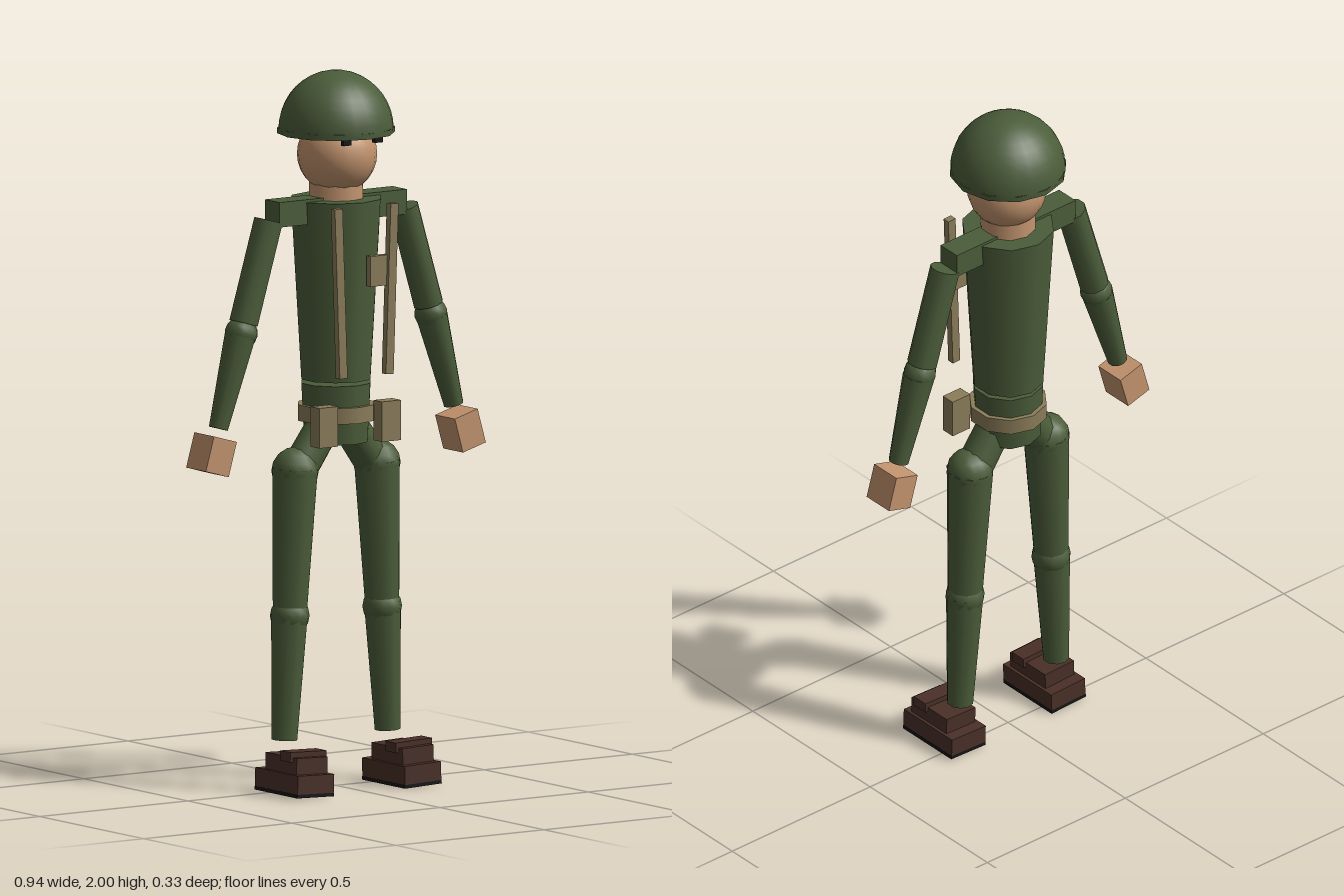
import * as THREE from 'three';

const material = (color) => new THREE.MeshStandardMaterial({ color });
const green = material(0x4b5d3a);
const skin = material(0xc4956f);
const canvas = material(0x8b7d5a);
const leather = material(0x4a3028);
const black = material(0x151515);

function add(parent, name, geometry, mat, x = 0, y = 0, z = 0, tilt = 0) {
  const mesh = new THREE.Mesh(geometry, mat);
  mesh.name = name;
  mesh.position.set(x, y, z);
  mesh.rotation.z = tilt;
  parent.add(mesh);
  return mesh;
}

const box = (w, h, d) => new THREE.BoxGeometry(w, h, d);
const ball = (r) => new THREE.SphereGeometry(r, 12, 8);
const drum = (rTop, rBottom, h, sides = 10) => new THREE.CylinderGeometry(rTop, rBottom, h, sides);

// Tapered cylinder running from (x1, y1) down to (x2, y2) in the z = 0 plane
function limb(parent, name, x1, y1, x2, y2, r1, r2, sides = 10) {
  const dx = x1 - x2, dy = y1 - y2;
  return add(parent, name, drum(r1, r2, Math.hypot(dx, dy), sides), green,
    (x1 + x2) / 2, (y1 + y2) / 2, 0, Math.atan2(-dx, dy));
}

function buildHead(root) {
  const head = new THREE.Group();
  head.name = 'head';
  add(head, 'neck', drum(0.077, 0.08, 0.12), skin, 0, 1.66, 0);
  add(head, 'face', new THREE.SphereGeometry(0.111, 20, 14), skin, 0, 1.768, 0.005);
  for (const s of [-1, 1]) add(head, 'eye', box(0.026, 0.026, 0.014), black, s * 0.053, 1.822, 0.124);
  // Helmet: dome on a thin twelve-sided brim
  const dome = new THREE.SphereGeometry(0.16, 24, 10, 0, Math.PI * 2, 0, Math.PI / 2);
  add(head, 'helmetDome', dome, green, 0, 1.835, 0).scale.y = 0.165 / 0.16;
  add(head, 'helmetBrim', drum(0.163, 0.163, 0.016, 12), green, 0, 1.834, 0);
  root.add(head);
}

function buildBody(root) {
  const body = new THREE.Group();
  body.name = 'body';
  add(body, 'torso', drum(0.13, 0.1, 0.505), green, 0, 1.3925, 0);
  add(body, 'shoulders', box(0.43, 0.07, 0.07), green, 0, 1.618, 0);
  add(body, 'pelvis', drum(0.1, 0.092, 0.165), green, 0, 1.0475, 0);
  add(body, 'belt', drum(0.11, 0.11, 0.045), canvas, 0, 1.048, 0);
  add(body, 'chestPocket', box(0.07, 0.085, 0.02), canvas, 0.055, 1.452, 0.128);
  for (const s of [-1, 1]) {
    add(body, 'strap', box(0.026, 0.475, 0.02), canvas, s * 0.086, 1.4, 0.138, -s * 0.035);
    add(body, 'pouch', box(0.063, 0.112, 0.042), canvas, s * 0.106, 1.025, 0.095);
  }
  root.add(body);
}

function buildArm(root, s) {
  const arm = new THREE.Group();
  arm.name = s > 0 ? 'leftArm' : 'rightArm';
  limb(arm, 'upperArm', s * 0.228, 1.6, s * 0.312, 1.32, 0.042, 0.042);
  add(arm, 'elbow', ball(0.046), green, s * 0.32, 1.293, 0, s * 0.28);
  limb(arm, 'forearm', s * 0.324, 1.285, s * 0.397, 1.033, 0.045, 0.028);
  add(arm, 'hand', box(0.08, 0.1, 0.095), skin, s * 0.42, 0.962, 0, s * 0.28);
  root.add(arm);
}

function buildLeg(root, s) {
  const leg = new THREE.Group();
  leg.name = s > 0 ? 'leftLeg' : 'rightLeg';
  limb(leg, 'hip', s * 0.035, 1.02, s * 0.125, 0.895, 0.05, 0.052);
  add(leg, 'hipJoint', ball(0.066), green, s * 0.138, 0.893, 0);
  limb(leg, 'thigh', s * 0.138, 0.9, s * 0.155, 0.515, 0.066, 0.05);
  add(leg, 'knee', ball(0.055), green, s * 0.156, 0.49, 0);
  limb(leg, 'shin', s * 0.157, 0.495, s * 0.174, 0.145, 0.053, 0.037);
  // Boot: sole plate, foot, instep and cuff, tilted with the leg
  const boot = new THREE.Group();
  boot.name = 'boot';
  boot.position.set(s * 0.182, 0.003, 0);
  boot.rotation.z = s * 0.035;
  add(boot, 'solePlate', box(0.124, 0.01, 0.206), black, 0, 0.006, 0.058);
  add(boot, 'foot', box(0.122, 0.052, 0.206), leather, 0, 0.037, 0.058);
  add(boot, 'instep', box(0.104, 0.048, 0.15), leather, 0, 0.085, 0.065);
  add(boot, 'cuff', box(0.122, 0.028, 0.05), leather, 0, 0.11, 0.096);
  leg.add(boot);
  root.add(leg);
}

export function createModel() {
  const root = new THREE.Group();
  root.name = 'soldier';
  buildHead(root);
  buildBody(root);
  for (const s of [-1, 1]) {
    buildArm(root, s);
    buildLeg(root, s);
  }
  return root;
}
